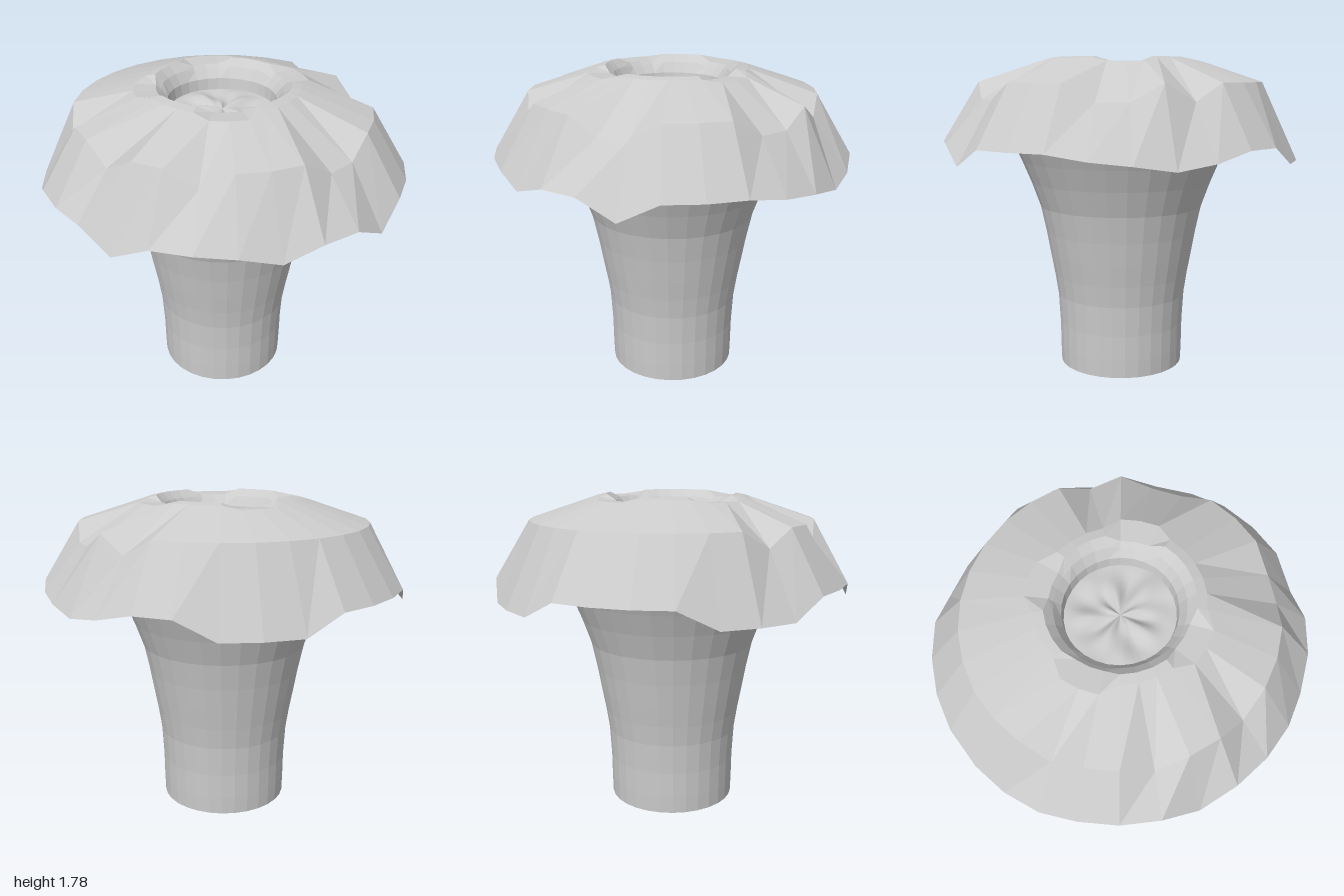
import * as THREE from 'three';

const SIDES = 30;
const flat = new THREE.MeshStandardMaterial({ color: 0xcccccc, flatShading: true, side: THREE.DoubleSide });
const smooth = new THREE.MeshStandardMaterial({ color: 0xcccccc, side: THREE.DoubleSide });

// Skin a stack of closed rings; pointAt(ring, side) gives [radius, height].
function skinRings(rings, pointAt, zScale = 1) {
  const pos = [], index = [];
  for (let j = 0; j < rings; j++) {
    for (let i = 0; i < SIDES; i++) {
      const a = (i / SIDES) * Math.PI * 2;
      const [r, y] = pointAt(j, i);
      pos.push(r * Math.cos(a), y, r * Math.sin(a) * zScale);
    }
  }
  for (let j = 0; j < rings - 1; j++) {
    for (let i = 0; i < SIDES; i++) {
      const n = (i + 1) % SIDES;
      const a = j * SIDES + i, b = a + SIDES, c = j * SIDES + n, d = c + SIDES;
      index.push(a, b, c, c, b, d);
    }
  }
  const geo = new THREE.BufferGeometry();
  geo.setAttribute('position', new THREE.Float32BufferAttribute(pos, 3));
  geo.setIndex(index);
  geo.computeVertexNormals();
  return geo;
}

function add(group, name, geo, mat) {
  const mesh = new THREE.Mesh(geo, mat);
  mesh.name = name;
  group.add(mesh);
}

export function createModel() {
  const group = new THREE.Group();
  group.name = 'flaredStemWithCap';

  // Stem: narrow foot flaring up to the underside of the cap
  const stem = [
    [0, 0], [0.355, 0.02], [0.358, 0.12], [0.36, 0.26], [0.37, 0.43], [0.388, 0.55],
    [0.41, 0.67], [0.433, 0.8], [0.465, 0.95], [0.515, 1.09], [0.565, 1.21],
    [0.62, 1.33], [0.7, 1.45], [0.79, 1.55],
  ];
  add(group, 'stem', skinRings(stem.length, (j) => stem[j]), flat);

  // Cap: drooping scalloped rim, shoulder, crown and the wall of the hollow.
  // Heights run once round, starting at +x and turning towards +z.
  const rimY = [
    1.33, 1.23, 1.33, 1.33, 1.27, 1.32, 1.33, 1.33, 1.23, 1.33,
    1.33, 1.33, 1.23, 1.23, 1.23, 1.33, 1.33, 1.33, 1.33, 1.23,
    1.23, 1.23, 1.33, 1.33, 1.28, 1.25, 1.28, 1.3, 1.33, 1.33,
  ];
  const lowShoulder = new Set([1, 2, 6, 9, 12, 24, 26, 27]);
  // Ragged crown: a repeatable notch pattern
  const notch = (i) => [0, 1, 0, 0, 1, 1, 0][(i * 3) % 7];
  const capPoint = (j, i) => {
    const n = notch(i);
    return [
      [1, rimY[i]],
      [0.8, lowShoulder.has(i) ? 1.56 : 1.65],
      [0.42 + 0.05 * n, 1.775 - 0.015 * n],
      [0.37 - 0.02 * n, 1.785 - 0.03 * n],
      [0.325, 1.745 - 0.015 * n],
      [0.29, 1.69],
      [0.28, 1.62],
    ][j];
  };
  add(group, 'cap', skinRings(7, capPoint, 0.98), flat);

  // Floor of the hollow: a smooth disc with soft radial creases
  const floor = new THREE.RingGeometry(0.001, 0.285, 48, 10);
  floor.rotateX(-Math.PI / 2);
  const p = floor.attributes.position;
  for (let k = 0; k < p.count; k++) {
    const r = Math.hypot(p.getX(k), p.getZ(k)) / 0.285;
    const a = Math.atan2(p.getZ(k), p.getX(k));
    const crease = Math.sin(5 * a + 4 * r) + 0.6 * Math.sin(8 * a - 3 * r);
    p.setY(k, 1.63 + 0.014 * crease * Math.sin(Math.PI * r));
  }
  floor.computeVertexNormals();
  add(group, 'hollowFloor', floor, smooth);

  return group;
}
